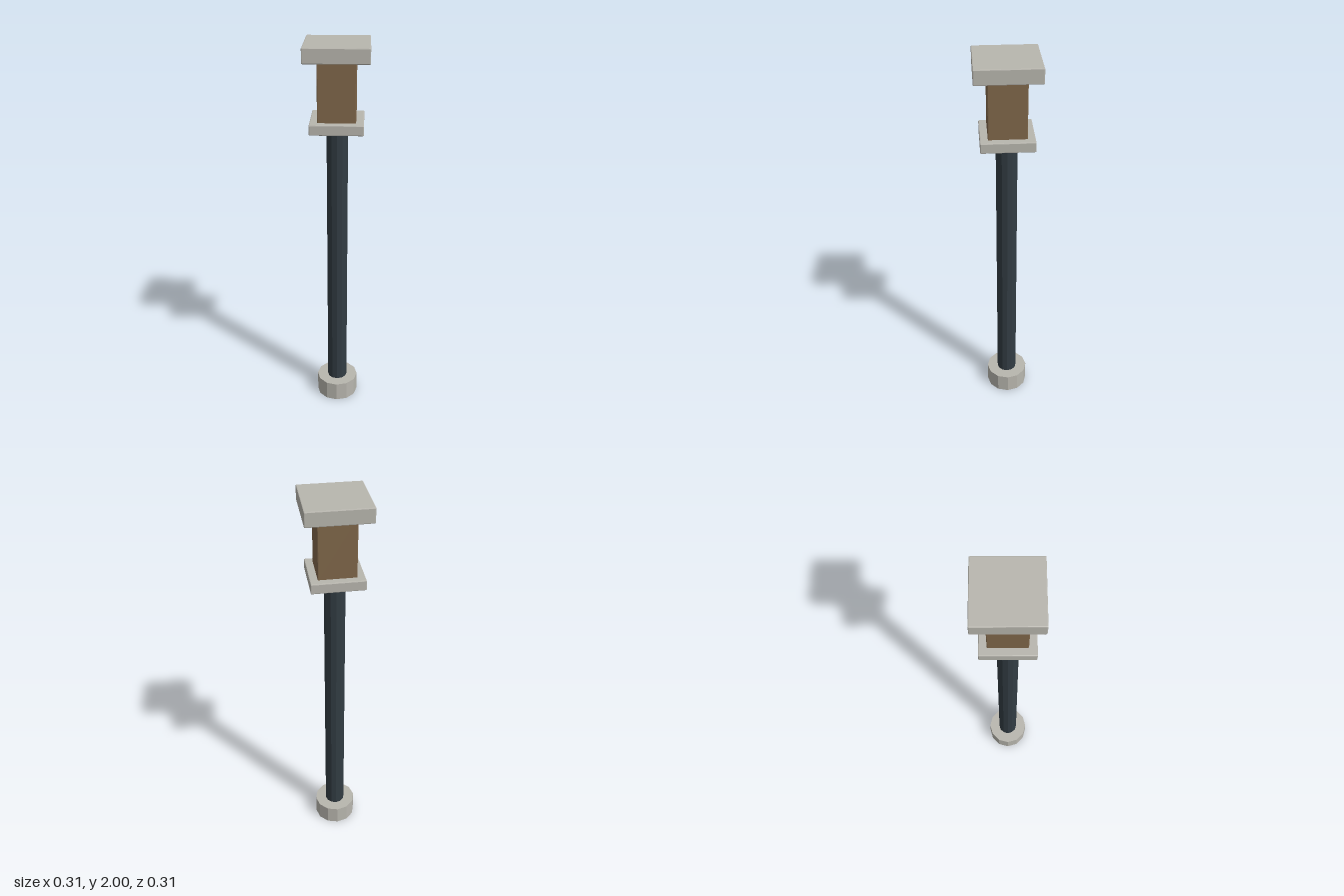
import * as THREE from 'three';
import { RoundedBoxGeometry } from 'three/addons/geometries/RoundedBoxGeometry.js';

export function createModel() {
  const model = new THREE.Group();
  model.name = 'lampPost';

  const material = (name, color) => {
    const m = new THREE.MeshStandardMaterial({ color, flatShading: true });
    m.name = name;
    return m;
  };
  const stone = material('pale stone', 0xb8b6ae);
  const iron = material('dark iron', 0x323c43);
  const wood = material('brown', 0x80674a);

  // Places a part between two heights on the central axis
  const add = (name, geometry, mat, bottom, top) => {
    const mesh = new THREE.Mesh(geometry, mat);
    mesh.name = name;
    mesh.position.y = (bottom + top) / 2;
    model.add(mesh);
  };
  const column = (name, radius, mat, bottom, top) =>
    add(name, new THREE.CylinderGeometry(radius, radius, top - bottom, 12), mat, bottom, top);
  // Square block with finely chamfered edges
  const block = (name, width, mat, bottom, top) =>
    add(name, new RoundedBoxGeometry(width, top - bottom, width, 1, 0.004), mat, bottom, top);

  // Round foot and slender pole
  column('foot', 0.112, stone, 0, 0.105);
  column('pole', 0.053, iron, 0.1, 1.59);

  // Square head: lower plate, core and overhanging cap
  block('lowerPlate', 0.262, stone, 1.584, 1.635);
  block('headCore', 0.186, wood, 1.63, 1.935);
  block('cap', 0.314, stone, 1.927, 2);

  return model;
}
